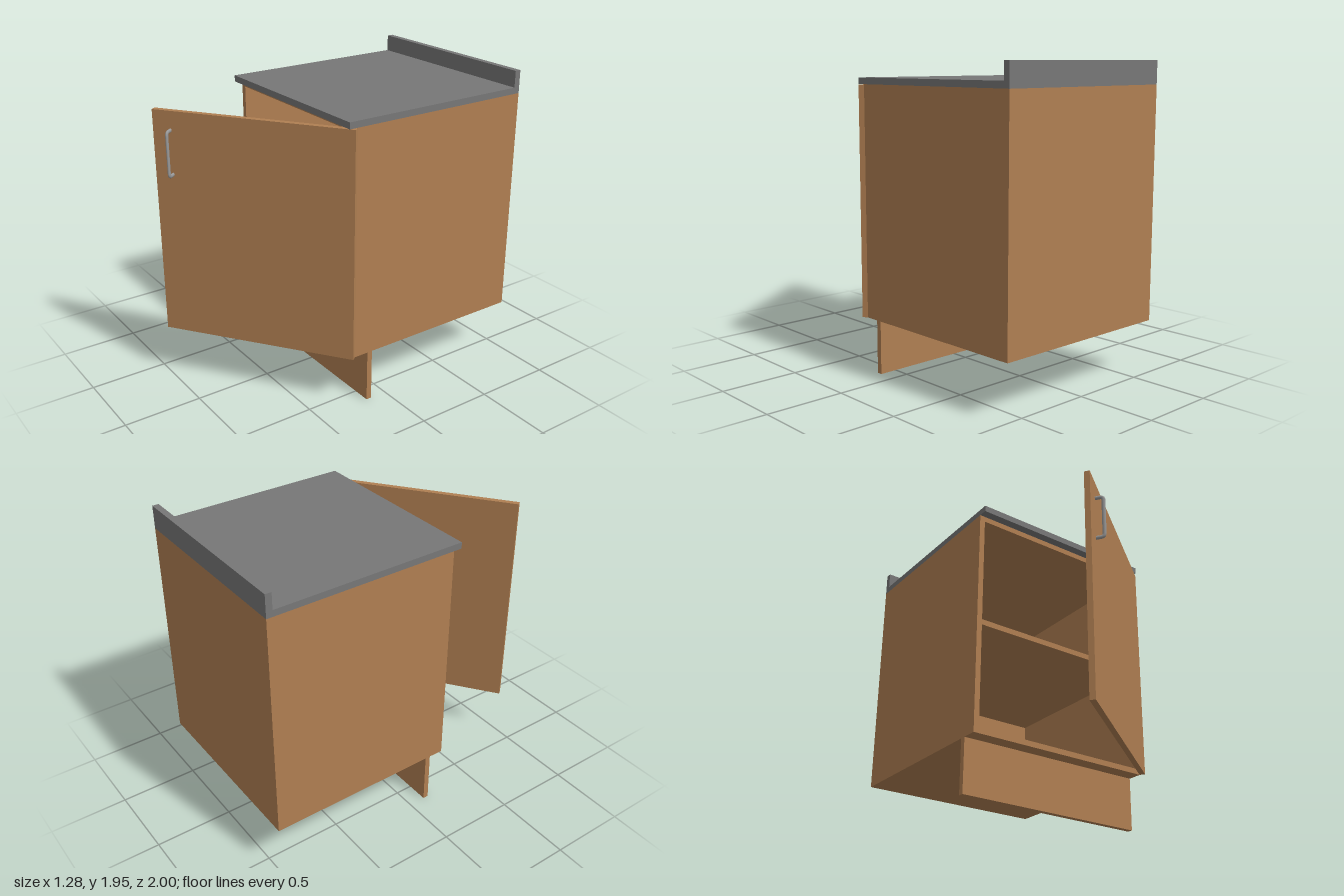
import * as THREE from 'three';

const wood = new THREE.MeshStandardMaterial({ color: 0xb07f52 });
const stone = new THREE.MeshStandardMaterial({ color: 0x777777 });
const metal = new THREE.MeshStandardMaterial({ color: 0x999999 });

// Box given by its minimum and maximum corners
function panel(parent, name, material, [x0, y0, z0], [x1, y1, z1]) {
  const mesh = new THREE.Mesh(new THREE.BoxGeometry(x1 - x0, y1 - y0, z1 - z0), material);
  mesh.position.set((x0 + x1) / 2, (y0 + y1) / 2, (z0 + z1) / 2);
  mesh.name = name;
  parent.add(mesh);
  return mesh;
}

// Bow handle: two feet and an upright bar joined by rounded corners
function createHandle(height, reach) {
  const r = 0.012, bend = 0.022, h = height / 2 - r, d = reach - r;
  const v = (y, z) => new THREE.Vector3(0, y, z);
  const path = new THREE.CurvePath();
  path.add(new THREE.LineCurve3(v(h, 0), v(h, d - bend)));
  path.add(new THREE.QuadraticBezierCurve3(v(h, d - bend), v(h, d), v(h - bend, d)));
  path.add(new THREE.LineCurve3(v(h - bend, d), v(bend - h, d)));
  path.add(new THREE.QuadraticBezierCurve3(v(bend - h, d), v(-h, d), v(-h, d - bend)));
  path.add(new THREE.LineCurve3(v(-h, d - bend), v(-h, 0)));
  const handle = new THREE.Mesh(new THREE.TubeGeometry(path, 80, r, 12), metal);
  handle.scale.x = 0.7;
  handle.name = 'handle';
  return handle;
}

export function createModel() {
  const model = new THREE.Group();
  model.name = 'baseCabinet';
  const L = -0.64, R = 0.615, back = -1, front = 0.24, t = 0.035;
  const bottom = 0.34, top = 1.8;

  // Open carcass
  const carcass = new THREE.Group();
  carcass.name = 'carcass';
  model.add(carcass);
  panel(carcass, 'rightSide', wood, [L, bottom, back], [L + t, top, front]);
  panel(carcass, 'leftSide', wood, [R - t, bottom, back], [R, top, front]);
  panel(carcass, 'backPanel', wood, [L + t, bottom, back], [R - t, top, back + t]);
  for (const [name, y] of [['floor', bottom], ['shelf', 1.035], ['topPanel', top - t]])
    panel(carcass, name, wood, [L + t, y, back + t], [R - t, y + t, front]);

  // Recessed kickboard
  panel(model, 'kickboard', wood, [L, 0, 0.11], [R, bottom, 0.145]);

  // Worktop with an upstand along the back
  panel(model, 'worktop', stone, [L, top, back], [R, 1.84, 0.295]);
  panel(model, 'upstand', stone, [L, 1.84, back], [R, 1.945, back + 0.04]);

  // Door swung open about its left edge
  const door = new THREE.Group();
  door.name = 'door';
  door.position.set(R, 0, front);
  door.rotation.y = 0.627;
  panel(door, 'doorPanel', wood, [L - R, bottom, 0], [0, top - 0.003, t]);
  const handle = createHandle(0.3, 0.062);
  handle.position.set(-1.14, 1.54, t);
  door.add(handle);
  model.add(door);

  return model;
}
